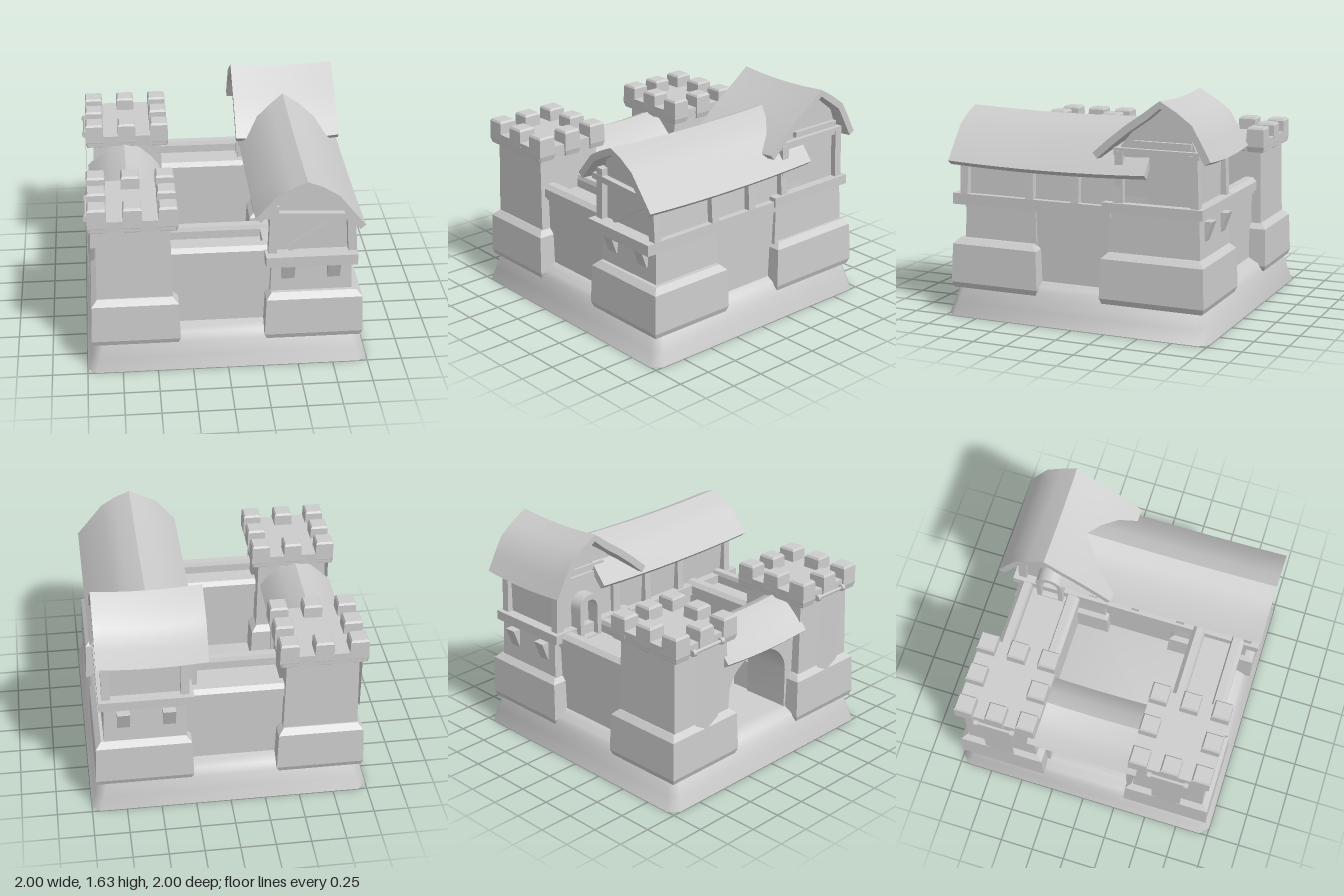
import * as THREE from 'three';
import { toCreasedNormals } from 'three/addons/utils/BufferGeometryUtils.js';

const grey = new THREE.MeshStandardMaterial({ color: 0xcccccc });
const greyThin = new THREE.MeshStandardMaterial({ color: 0xcccccc, side: THREE.DoubleSide });

function add(parent, name, geo, x = 0, y = 0, z = 0, mat = grey) {
  const m = new THREE.Mesh(geo, mat);
  m.name = name;
  m.position.set(x, y, z);
  parent.add(m);
  return m;
}

// Solid from stacked rectangles [y, halfX, halfZ] with chamfered corners
function stack(rings, c = 0, crease = 0.1) {
  const ring = ([y, a, b]) => (c
    ? [[-a, b - c], [-a + c, b], [a - c, b], [a, b - c], [a, c - b], [a - c, -b], [c - a, -b], [-a, c - b]]
    : [[-a, b], [a, b], [a, -b], [-a, -b]]).map(([x, z]) => [x, y, z]);
  const loops = rings.map(ring), n = loops[0].length, pos = [];
  const tri = (...p) => p.forEach(q => pos.push(...q));
  for (let i = 0; i + 1 < loops.length; i++) {
    for (let k = 0; k < n; k++) {
      const A = loops[i], B = loops[i + 1], j = (k + 1) % n;
      tri(A[k], A[j], B[j]);
      tri(A[k], B[j], B[k]);
    }
  }
  const bottom = loops[0], top = loops[loops.length - 1];
  for (let k = 1; k + 1 < n; k++) {
    tri(top[0], top[k], top[k + 1]);
    tri(bottom[0], bottom[k + 1], bottom[k]);
  }
  const g = new THREE.BufferGeometry();
  g.setAttribute('position', new THREE.Float32BufferAttribute(pos, 3));
  return toCreasedNormals(g, crease);
}

// Box given by its limits
function block(parent, name, x0, x1, y0, y1, z0, z1) {
  return add(parent, name, new THREE.BoxGeometry(x1 - x0, y1 - y0, z1 - z0),
    (x0 + x1) / 2, (y0 + y1) / 2, (z0 + z1) / 2);
}

const shapeOf = pts => new THREE.Shape(pts.map(p => new THREE.Vector2(...p)));

// Bent roof sheet: outline extruded along z, with a sagging ridge
function roofGeo(pts, z0, z1, t, sag) {
  const inner = pts.map((p, i) => {
    const a = pts[Math.max(i - 1, 0)], b = pts[Math.min(i + 1, pts.length - 1)];
    const l = Math.hypot(b[0] - a[0], b[1] - a[1]);
    return [p[0] + (b[1] - a[1]) / l * t, p[1] - (b[0] - a[0]) / l * t];
  });
  const g = new THREE.ExtrudeGeometry(shapeOf([...pts, ...inner.reverse()]),
    { depth: z1 - z0, steps: 8, bevelEnabled: false });
  const p = g.attributes.position;
  for (let i = 0; i < p.count; i++) {
    const s = p.getZ(i) / (z1 - z0);
    p.setY(i, p.getY(i) - sag * 4 * s * (1 - s));
    p.setZ(i, p.getZ(i) + z0);
  }
  return toCreasedNormals(g, 0.75);
}

const extrude = (shape, z0, z1) =>
  new THREE.ExtrudeGeometry(shape, { depth: z1 - z0, bevelEnabled: false, curveSegments: 10 }).translate(0, 0, z0);

// Square bar between two points
function bar(parent, name, a, b, w, d = w) {
  const A = new THREE.Vector3(...a), B = new THREE.Vector3(...b), dir = B.clone().sub(A);
  const m = add(parent, name, new THREE.BoxGeometry(w, dir.length(), d));
  m.position.copy(A).add(B).multiplyScalar(0.5);
  m.quaternion.setFromUnitVectors(new THREE.Vector3(0, 1, 0), dir.normalize());
  return m;
}

const plinth = (hx, hz) => stack([[0.2, hx - 0.015, hz - 0.015], [0.24, hx, hz], [0.52, hx - 0.01, hz - 0.01], [0.56, hx - 0.05, hz - 0.05]]);

function makeTower(zc) {
  const g = new THREE.Group();
  g.name = 'tower';
  g.position.set(-0.65, 0, zc);
  add(g, 'towerPlinth', plinth(0.315, 0.325));
  add(g, 'towerShaft', stack([[0.5, 0.268, 0.268], [1.1, 0.255, 0.255], [1.11, 0.295, 0.295], [1.19, 0.295, 0.295]]));
  // Merlons around the crown
  const merlon = stack([[1.1, 0.058, 0.058], [1.14, 0.068, 0.068], [1.27, 0.065, 0.065], [1.285, 0.055, 0.055]]);
  for (let i = -1; i <= 1; i++) for (let k = -1; k <= 1; k++) {
    if (i || k) add(g, 'merlon', merlon, i * 0.243, 0, k * 0.228);
  }
  // Banner on a rod
  const rod = add(g, 'bannerRod', new THREE.CylinderGeometry(0.013, 0.013, 0.3, 8), -0.315, 1.14, 0);
  rod.rotation.x = Math.PI / 2;
  for (const s of [-1, 1]) {
    const knob = add(g, 'rodKnob', new THREE.CylinderGeometry(0.024, 0.024, 0.03, 8), -0.315, 1.14, s * 0.135);
    knob.rotation.x = Math.PI / 2;
  }
  const cloth = new THREE.ShapeGeometry(shapeOf([[-0.11, 1.14], [-0.11, 0.58], [0, 0.52], [0.11, 0.58], [0.11, 1.14]]));
  const b = add(g, 'banner', cloth, -0.315, 0, 0, greyThin);
  b.rotation.y = -Math.PI / 2;
  return g;
}

// Wall with walkway and a parapet on each side
function makeCurtainWall(zc, h) {
  const g = new THREE.Group();
  g.name = 'curtainWall';
  block(g, 'wall', -0.42, 0.34, 0.2, 0.8, zc - h + 0.03, zc + h - 0.03);
  block(g, 'walkway', -0.4, 0.32, 0.785, 0.815, zc - h + 0.015, zc + h - 0.015);
  for (const s of [-1, 1]) {
    const p = add(g, 'parapet', stack([[0.81, 0.36, 0.048], [0.875, 0.36, 0.048], [0.905, 0.36, 0.028]]), -0.04, 0, zc + s * (h - 0.045));
    const a = p.geometry.attributes.position;
    for (let i = 0; i < a.count; i++) if (a.getY(i) > 0.9) a.setZ(i, a.getZ(i) - s * 0.01);
    p.geometry.computeVertexNormals();
  }
  return g;
}

function corbel(parent, x, z, s) {
  const w = extrude(shapeOf([[-0.03, 0.66], [0.015, 0.66], [0.07, 0.81], [-0.03, 0.81]]), -0.045, 0.045);
  add(parent, 'corbel', w, x, 0, z).rotation.y = -s * Math.PI / 2;
}

function makeHouses() {
  const g = new THREE.Group();
  g.name = 'houses';
  // Stone lower floor
  add(g, 'frontPlinth', plinth(0.35, 0.34), 0.61, 0, 0.63);
  add(g, 'backPlinth', plinth(0.35, 0.385), 0.61, 0, -0.575);
  add(g, 'frontStoneFloor', stack([[0.5, 0.29, 0.285], [0.84, 0.28, 0.275]]), 0.59, 0, 0.61);
  add(g, 'backStoneFloor', stack([[0.5, 0.295, 0.345], [0.86, 0.285, 0.33]]), 0.595, 0, -0.565);
  block(g, 'sideWall', 0.33, 0.86, 0.2, 0.85, -0.3, 0.4);
  block(g, 'frontFloorBeam', 0.26, 0.9, 0.8, 0.88, -0.25, 0.98);
  block(g, 'backFloorBeam', 0.25, 0.915, 0.84, 0.91, -0.93, -0.195);
  for (const x of [0.425, 0.745]) {
    corbel(g, x, 0.885, 1);
    corbel(g, x, -0.885, -1);
  }

  // Front house, upper floor and roof
  add(g, 'frontHouseWalls', extrude(shapeOf([[0.33, 0.86], [0.855, 0.86], [0.84, 1.15], [0.73, 1.31], [0.53, 1.42], [0.34, 1.32], [0.31, 1.15]]), -0.5, 0.87));
  add(g, 'frontRoof', roofGeo([[0.18, 1.2], [0.32, 1.365], [0.43, 1.425], [0.53, 1.47], [0.64, 1.425], [0.75, 1.355], [0.94, 1.12]], -0.52, 0.99, 0.05, 0.02));
  for (const z of [0.89, 0.37, 0.02, -0.3]) {
    bar(g, 'frontHousePost', [0.31, 0.87, z], [0.32, 1.25, z], 0.06);
    bar(g, 'frontHousePost', [0.87, 0.87, z], [0.85, 1.17, z], 0.06);
  }
  bar(g, 'gableTie', [0.24, 1.18, 0.9], [0.87, 1.15, 0.9], 0.045);
  bar(g, 'gableBrace', [0.42, 0.89, 0.875], [0.8, 1.14, 0.875], 0.05, 0.03);

  // Back house, built along z and turned so its ridge runs along x
  const b = new THREE.Group();
  b.name = 'backHouse';
  b.rotation.y = Math.PI / 2;
  g.add(b);
  add(b, 'backHouseWalls', extrude(shapeOf([[0.32, 0.88], [0.85, 0.88], [0.85, 1.3], [0.8, 1.43], [0.62, 1.57], [0.41, 1.42], [0.31, 1.3]]), 0.31, 0.85));
  add(b, 'backRoof', roofGeo([[0.13, 1.25], [0.25, 1.355], [0.37, 1.45], [0.5, 1.54], [0.62, 1.63], [0.74, 1.56], [0.85, 1.48], [0.92, 1.36], [0.985, 1.24]], 0.155, 0.92, 0.05, 0.02));
  for (const w of [0.31, 0.86]) {
    bar(b, 'backHousePost', [0.31, 0.89, w], [0.31, 1.27, w], 0.06);
    bar(b, 'backHousePost', [0.865, 0.89, w], [0.85, 1.27, w], 0.06);
    bar(b, 'backGableTie', [0.27, 1.265, w], [0.89, 1.265, w], 0.05);
    bar(b, 'collarTie', [0.42, 1.325, w], [0.83, 1.325, w], 0.04);
  }

  // Arched door frame facing the wall walk
  const frame = new THREE.Shape();
  frame.moveTo(0.53, 0.82).lineTo(0.73, 0.82).lineTo(0.73, 1.06);
  frame.absarc(0.63, 1.06, 0.1, 0, Math.PI).lineTo(0.53, 0.82);
  const hole = new THREE.Path();
  hole.moveTo(0.565, 0.83).lineTo(0.695, 0.83).lineTo(0.695, 1.05);
  hole.absarc(0.63, 1.05, 0.065, 0, Math.PI).lineTo(0.565, 0.83);
  frame.holes.push(hole);
  add(b, 'doorFrame', toCreasedNormals(extrude(frame, 0.21, 0.32), 0.6));
  return g;
}

function makeGate() {
  const g = new THREE.Group();
  g.name = 'gate';
  const s = shapeOf([[-0.4, 0.25], [-0.3, 0.25], [-0.3, 0.6]]);
  s.absellipse(0, 0.6, 0.3, 0.25, Math.PI, 0, true);
  s.lineTo(0.3, 0.25).lineTo(0.4, 0.25).lineTo(0.4, 0.97).lineTo(-0.4, 0.97);
  add(g, 'gateArch', toCreasedNormals(extrude(s, -0.85, -0.49), 0.6)).rotation.y = Math.PI / 2;
  add(g, 'gateRoof', roofGeo([[-0.95, 0.92], [-0.88, 1.0], [-0.79, 1.08], [-0.67, 1.13], [-0.56, 1.08], [-0.47, 1.0], [-0.41, 0.92]], -0.42, 0.4, 0.045, 0.02));
  return g;
}

export function createModel() {
  const model = new THREE.Group();
  model.name = 'castle';
  // Sloping ground
  add(model, 'ground', stack([[0, 1, 1], [0.1, 0.972, 0.972], [0.2, 0.945, 0.945], [0.26, 0.915, 0.915], [0.3, 0.84, 0.84]], 0.06, 0.9));
  model.add(makeTower(0.64), makeTower(-0.645));
  model.add(makeCurtainWall(0.67, 0.195), makeCurtainWall(-0.64, 0.23));
  model.add(makeHouses(), makeGate());
  return model;
}
